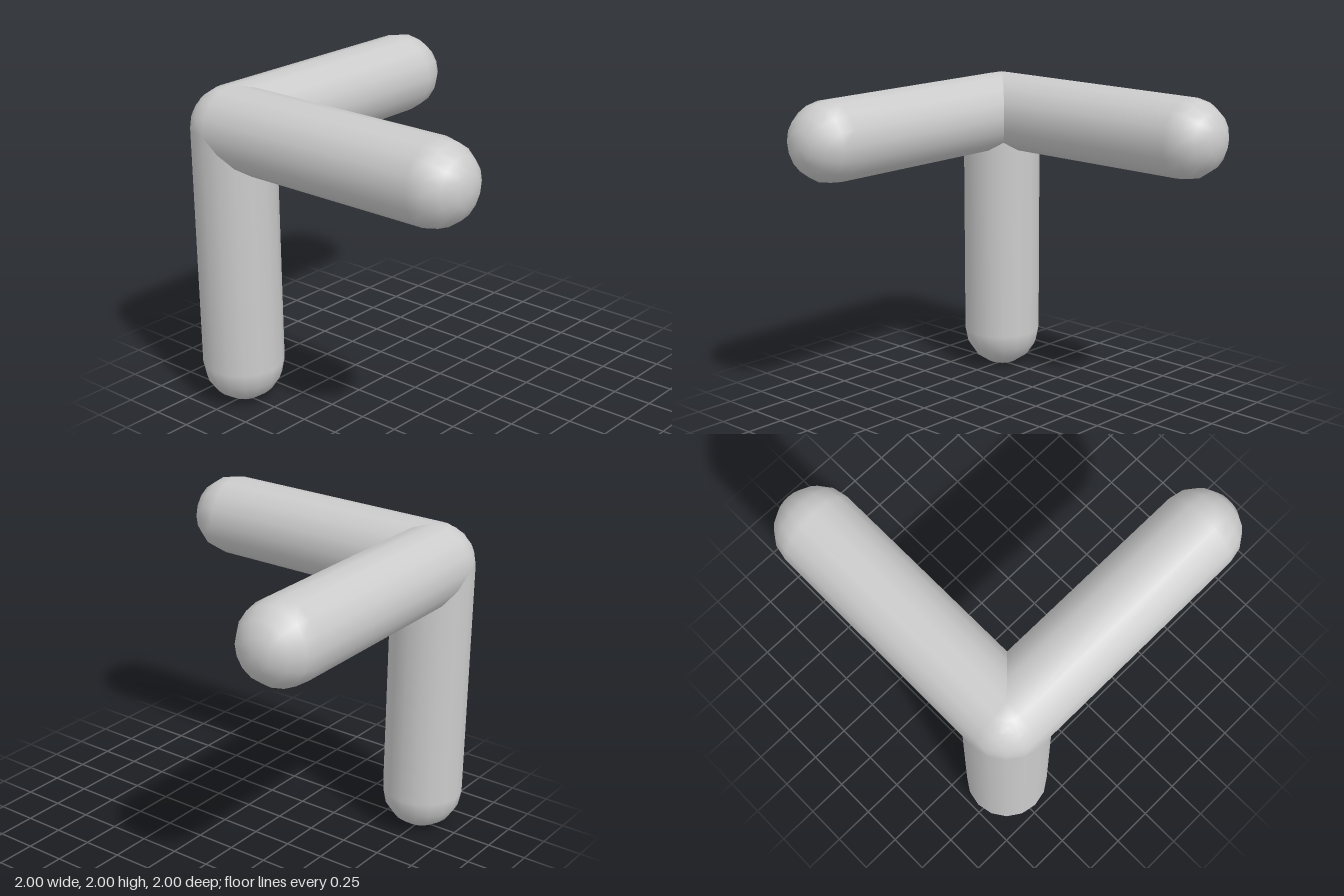
import * as THREE from 'three';

const RADIUS = 0.25;
const LENGTH = 1.5;

export function createModel() {
  const group = new THREE.Group();
  group.name = 'cornerOfThreeRods';
  const material = new THREE.MeshStandardMaterial({ color: 0xcccccc });
  const corner = new THREE.Vector3(-0.75, 1.75, 0.75);
  const up = new THREE.Vector3(0, 1, 0);

  // Three round-ended rods meet at right angles in one corner
  const rods = {
    uprightRod: new THREE.Vector3(0, -1, 0),
    sideRod: new THREE.Vector3(1, 0, 0),
    backRod: new THREE.Vector3(0, 0, -1),
  };
  const geometry = new THREE.CapsuleGeometry(RADIUS, LENGTH, 4, 16);

  for (const [name, direction] of Object.entries(rods)) {
    const rod = new THREE.Mesh(geometry, material);
    rod.name = name;
    rod.quaternion.setFromUnitVectors(up, direction);
    rod.position.copy(corner).addScaledVector(direction, LENGTH / 2);
    group.add(rod);
  }
  return group;
}
